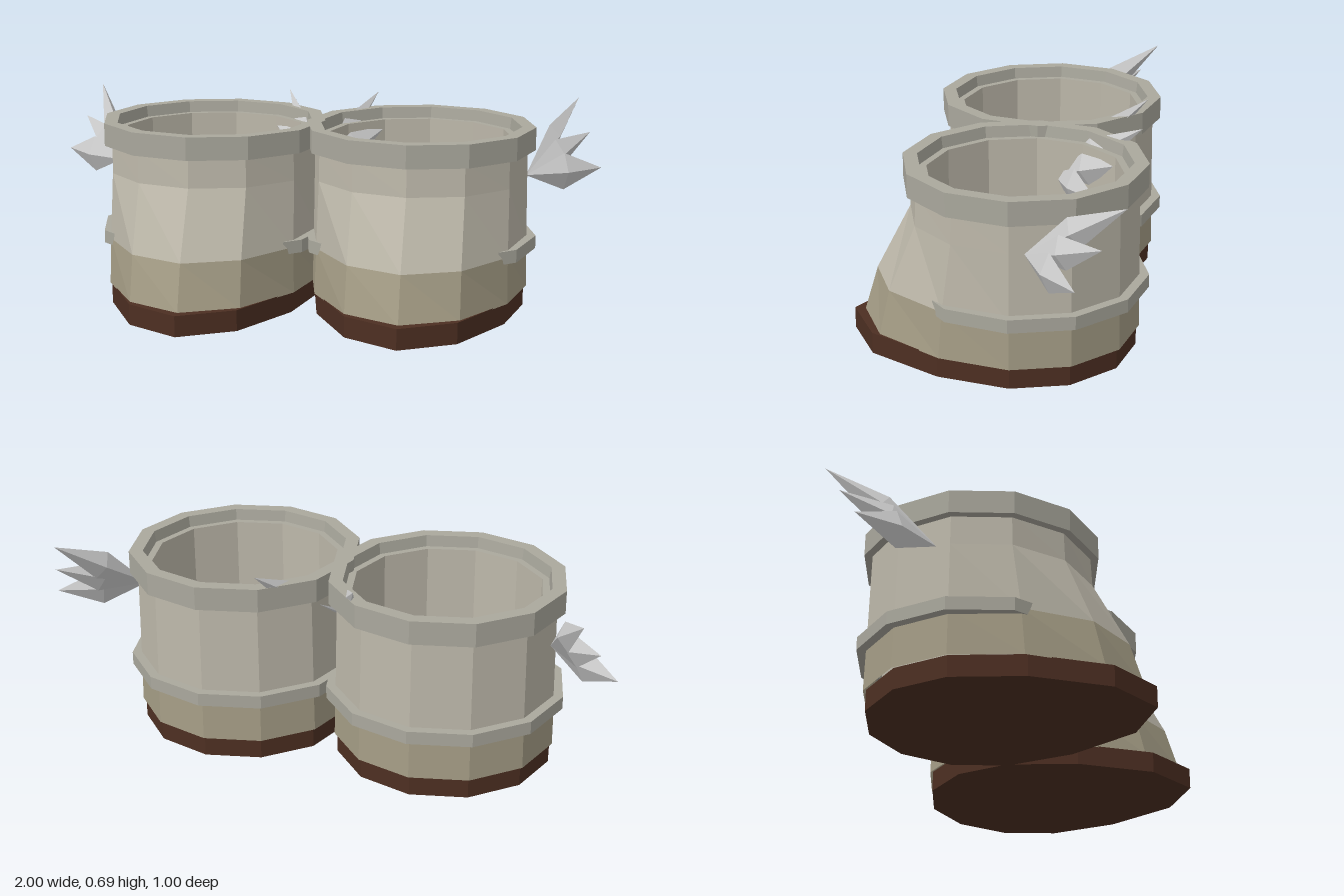
import * as THREE from 'three';

const SIDES = 12;

function mat(color, side = THREE.FrontSide) {
  return new THREE.MeshStandardMaterial({ color, flatShading: true, side });
}
const shaftMat = mat(0xbdb8aa, THREE.DoubleSide);
const toeMat = mat(0xa59d86, THREE.DoubleSide);
const trimMat = mat(0xaaa89d);
const soleMat = mat(0x4d2f22);
const wingMat = mat(0xcccccc);

function mesh(name, geometry, material) {
  const m = new THREE.Mesh(geometry, material);
  m.name = name;
  return m;
}

// Twelve-sided turned form from [radius, y, toe stretch] rows;
// the stretch pulls the front half forward, most at the tip
function turned(rows) {
  const geo = new THREE.LatheGeometry(rows.map(([r, y]) => new THREE.Vector2(r, y)), SIDES);
  const p = geo.attributes.position;
  for (let i = 0; i < p.count; i++) {
    const [r, , stretch = 0] = rows[i % rows.length];
    const z = p.getZ(i);
    if (z > 0 && r > 0) p.setZ(i, z * (1 + stretch * z / r));
  }
  geo.computeVertexNormals();
  return geo;
}

// Strap around the heel and sides, open at the front
function strapGeometry() {
  const pts = [new THREE.Vector2(0.30, 0.255)];
  const arc = (r, k) => new THREE.Vector2(r * Math.sin(k * Math.PI / 6), r * Math.cos(k * Math.PI / 6));
  for (let k = 2; k <= 10; k++) pts.push(arc(0.413, k));
  pts.push(new THREE.Vector2(-0.30, 0.255));
  for (let k = 10; k >= 2; k--) pts.push(arc(0.36, k));
  const geo = new THREE.ExtrudeGeometry(new THREE.Shape(pts), { depth: 0.045, bevelEnabled: false });
  return geo.rotateX(Math.PI / 2).translate(0, 0.255, 0);
}

// One feather: a long flattened diamond from root to tip
function feather(root, tip, width, thickness) {
  const dir = tip.clone().sub(root);
  const half = dir.length() / 2;
  dir.normalize();
  const up = new THREE.Vector3(0, 1, 0).addScaledVector(dir, -dir.y).normalize();
  const side = dir.clone().cross(up);
  const m = new THREE.Matrix4()
    .makeBasis(dir.multiplyScalar(half), up.multiplyScalar(width), side.multiplyScalar(thickness))
    .setPosition(root.clone().add(tip).multiplyScalar(0.5));
  return mesh('feather', new THREE.OctahedronGeometry(1, 0).applyMatrix4(m), wingMat);
}

// Fan of three feathers on one side of a boot (s = +1 or -1)
function wing(s) {
  const g = new THREE.Group();
  g.name = s > 0 ? 'leftWing' : 'rightWing';
  const root = new THREE.Vector3(s * 0.37, 0.46, -0.047);
  [
    [0.63, 0.46, -0.227, 0.066],
    [0.585, 0.575, -0.300, 0.055],
    [0.54, 0.69, -0.367, 0.05],
  ].forEach(([x, y, z, w]) => g.add(feather(root, new THREE.Vector3(s * x, y, z), w, 0.03)));
  return g;
}

function boot(name, x) {
  const g = new THREE.Group();
  g.name = name;
  g.position.set(x, 0, -0.083);

  g.add(mesh('sole', turned([[0, 0], [0.375, 0, 0.555], [0.375, 0.073, 0.555], [0, 0.073]]), soleMat));
  g.add(mesh('foot', turned([[0.385, 0.07, 0.42], [0.381, 0.23, 0.31]]), toeMat));
  g.add(mesh('shaft', turned([[0.381, 0.23, 0.31], [0.377, 0.46, 0.01], [0.375, 0.57]]), shaftMat));
  // Cuff rolls over the top edge and continues down as the lining
  g.add(mesh('cuff', turned([[0.36, 0.56], [0.403, 0.56], [0.403, 0.64], [0.355, 0.64], [0.35, 0.60], [0.325, 0.60]]), trimMat));
  g.add(mesh('lining', turned([[0.325, 0.60], [0.325, 0.073]]), shaftMat));
  g.add(mesh('strap', strapGeometry(), trimMat));
  g.add(wing(1), wing(-1));
  return g;
}

export function createModel() {
  const model = new THREE.Group();
  model.name = 'wingedBoots';
  model.add(boot('leftBoot', 0.37), boot('rightBoot', -0.37));
  return model;
}
